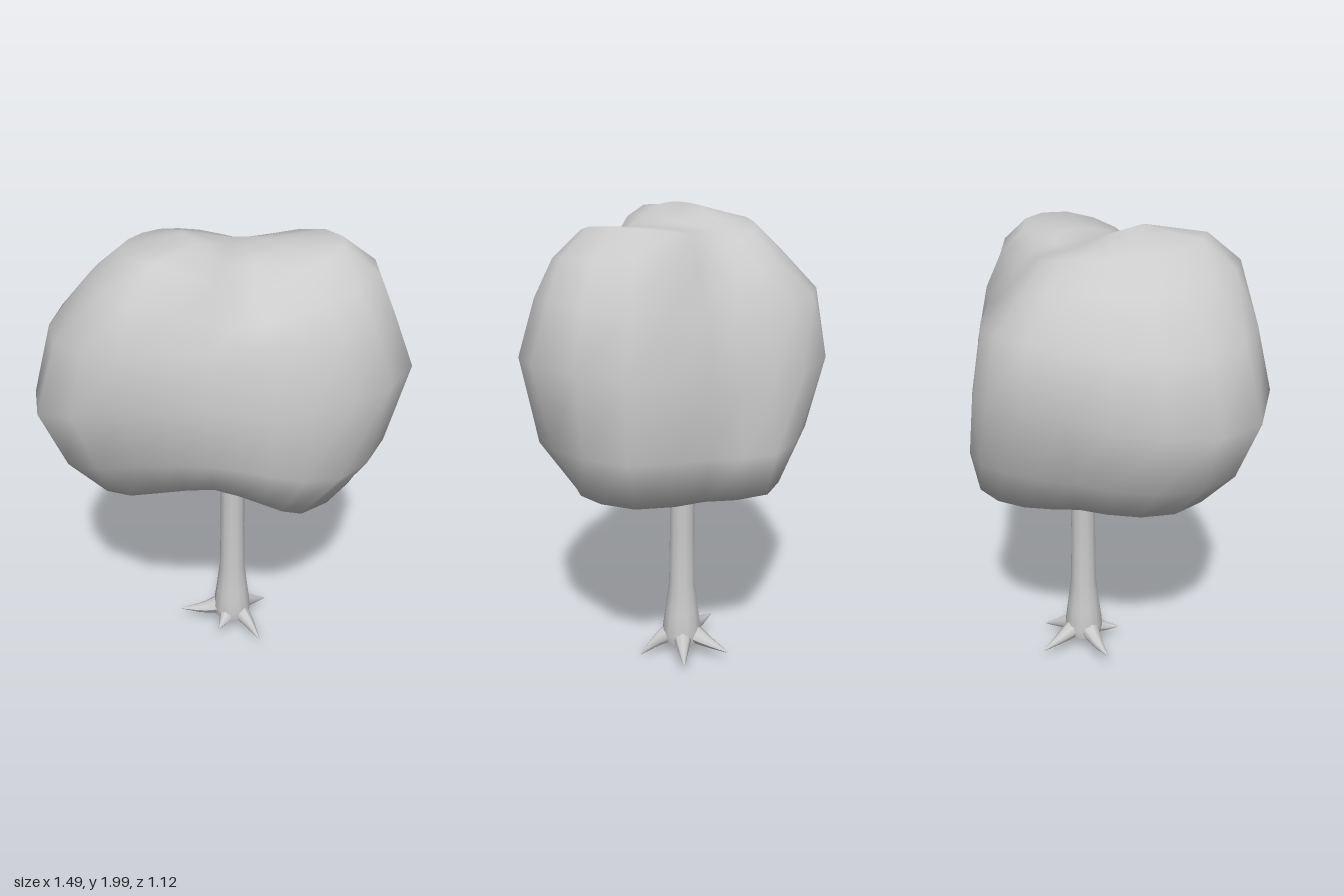
import * as THREE from 'three';
import { mergeVertices } from 'three/addons/utils/BufferGeometryUtils.js';

const material = new THREE.MeshStandardMaterial({ color: 0xcccccc, side: THREE.DoubleSide });
const TRUNK_X = 0.01, TRUNK_Z = -0.075;

function part(name, geometry, parent) {
  const mesh = new THREE.Mesh(geometry, material);
  mesh.name = name;
  parent.add(mesh);
  return mesh;
}

// Tapered tube along a smooth path, radius running from r0 to r1
function limb(points, r0, r1, segments = 6, sides = 8) {
  const curve = new THREE.CatmullRomCurve3(points.map((p) => new THREE.Vector3(...p)));
  const geometry = new THREE.TubeGeometry(curve, segments, 1, sides);
  const pos = geometry.attributes.position;
  const v = new THREE.Vector3();
  for (let i = 0; i <= segments; i++) {
    const centre = curve.getPointAt(i / segments);
    const r = THREE.MathUtils.lerp(r0, r1, i / segments);
    for (let j = 0; j <= sides; j++) {
      const k = i * (sides + 1) + j;
      v.fromBufferAttribute(pos, k).sub(centre).multiplyScalar(r).add(centre);
      pos.setXYZ(k, v.x, v.y, v.z);
    }
  }
  geometry.computeVertexNormals();
  return geometry;
}

// Smooth periodic sampling of values spaced evenly round the crown
function around(values, t) {
  const n = values.length, f = t * n, i = Math.floor(f), u = f - i;
  const at = (k) => values[(k + n) % n];
  const [a, b, c, d] = [at(i - 1), at(i), at(i + 1), at(i + 2)];
  return b + 0.5 * u * (c - a + u * (2 * a - 5 * b + 4 * c - d + u * (3 * (b - c) + d - a)));
}

// Lumpy crown: one bottom-to-top profile per direction, starting at +x and turning to +z
function crownGeometry() {
  const rim = [0.52, 0.39, 0.37, 0.38, 0.43, 0.54, 0.5, 0.42, 0.46, 0.53, 0.46, 0.58];
  const rimY = [0.91, 0.865, 0.98, 1.07, 1.03, 0.95, 0.945, 0.945, 0.92, 0.91, 0.91, 0.93];
  const lower = [0.65, 0.56, 0.45, 0.48, 0.55, 0.69, 0.65, 0.57, 0.57, 0.565, 0.51, 0.67];
  const girth = [0.735, 0.6, 0.47, 0.51, 0.64, 0.79, 0.74, 0.64, 0.64, 0.54, 0.53, 0.67];
  const girthY = [1.48, 1.45, 1.42, 1.48, 1.48, 1.36, 1.38, 1.42, 1.42, 1.35, 1.4, 1.45];
  const upper = [0.65, 0.54, 0.42, 0.46, 0.6, 0.7, 0.68, 0.61, 0.58, 0.49, 0.46, 0.62];
  const shoulder = [0.58, 0.45, 0.35, 0.39, 0.55, 0.55, 0.51, 0.46, 0.43, 0.35, 0.37, 0.54];
  const topY = [1.95, 1.9, 1.84, 1.88, 1.97, 1.95, 1.94, 1.93, 1.9, 1.88, 1.91, 1.95];
  const crestY = [1.93, 1.92, 1.91, 1.94, 1.99, 2.0, 1.985, 1.95, 1.92, 1.91, 1.92, 1.93];
  const sectors = 24, rows = 10, positions = [], index = [];
  for (let j = 0; j < sectors; j++) {
    const t = j / sectors, angle = t * Math.PI * 2;
    const [r, ry, l, g, gy, u, s, ty, cy] =
      [rim, rimY, lower, girth, girthY, upper, shoulder, topY, crestY].map((list) => around(list, t));
    const profile = [
      [0, 1.1], [r * 0.6, 1.07], [r, ry], [l, ry * 0.6 + gy * 0.4], [g, gy],
      [u, gy * 0.4 + 1.1], [s, ty - 0.1], [s * 0.76, ty], [0.18, cy], [0, 1.935],
    ];
    for (const [radius, y] of profile) {
      positions.push(radius * Math.cos(angle), y, radius * Math.sin(angle));
    }
    for (let i = 0; i < rows - 1; i++) {
      const a = j * rows + i, b = ((j + 1) % sectors) * rows + i;
      if (i > 0) index.push(a, a + 1, b);
      if (i < rows - 2) index.push(b, a + 1, b + 1);
    }
  }
  let geometry = new THREE.BufferGeometry();
  geometry.setAttribute('position', new THREE.Float32BufferAttribute(positions, 3));
  geometry.setIndex(index);
  geometry = mergeVertices(geometry, 1e-4);
  geometry.computeVertexNormals();
  return geometry;
}

export function createModel() {
  const tree = new THREE.Group();
  tree.name = 'tree';

  part('crown', crownGeometry(), tree);

  // Trunk flaring at the foot and at the fork
  const outline = [[0.08, 0.08], [0.088, 0.13], [0.075, 0.23], [0.059, 0.36], [0.055, 0.6],
    [0.055, 0.78], [0.064, 0.94], [0.066, 1.02], [0.05, 1.05], [0, 1.055]];
  const trunk = part('trunk', new THREE.LatheGeometry(outline.map((p) => new THREE.Vector2(...p)), 12), tree);
  trunk.position.set(TRUNK_X, 0, TRUNK_Z);
  const sole = part('trunkSole', new THREE.CircleGeometry(0.08, 12), tree);
  sole.rotation.x = Math.PI / 2;
  sole.position.set(TRUNK_X, 0.08, TRUNK_Z);

  // Roots spreading to pointed tips
  const roots = new THREE.Group();
  roots.name = 'roots';
  tree.add(roots);
  const tips = [[0.16, 0.01, 0.04], [-0.23, 0.09, -0.04], [-0.03, 0.09, 0.08],
    [-0.06, 0.06, -0.29], [0.15, 0.055, -0.22]];
  for (const [x, y, z] of tips) {
    const along = (k, h) => [TRUNK_X + (x - TRUNK_X) * k, h, TRUNK_Z + (z - TRUNK_Z) * k];
    part('root', limb([along(0.06, 0.135), along(0.55, 0.08 + y * 0.2), [x, y, z]], 0.055, 0.003), roots);
  }

  // Branches curving from the fork into the crown
  const branches = new THREE.Group();
  branches.name = 'branches';
  tree.add(branches);
  const ends = [[0.3, 1.06, 0], [-0.26, 1.08, 0.06], [-0.2, 1.1, -0.28], [0.2, 1.1, -0.3]];
  for (const [x, y, z] of ends) {
    const mid = [x * 0.55, 1.01, (z + TRUNK_Z) / 2];
    part('branch', limb([[TRUNK_X, 0.97, TRUNK_Z], mid, [x, y, z]], 0.045, 0.022), branches);
  }
  return tree;
}
